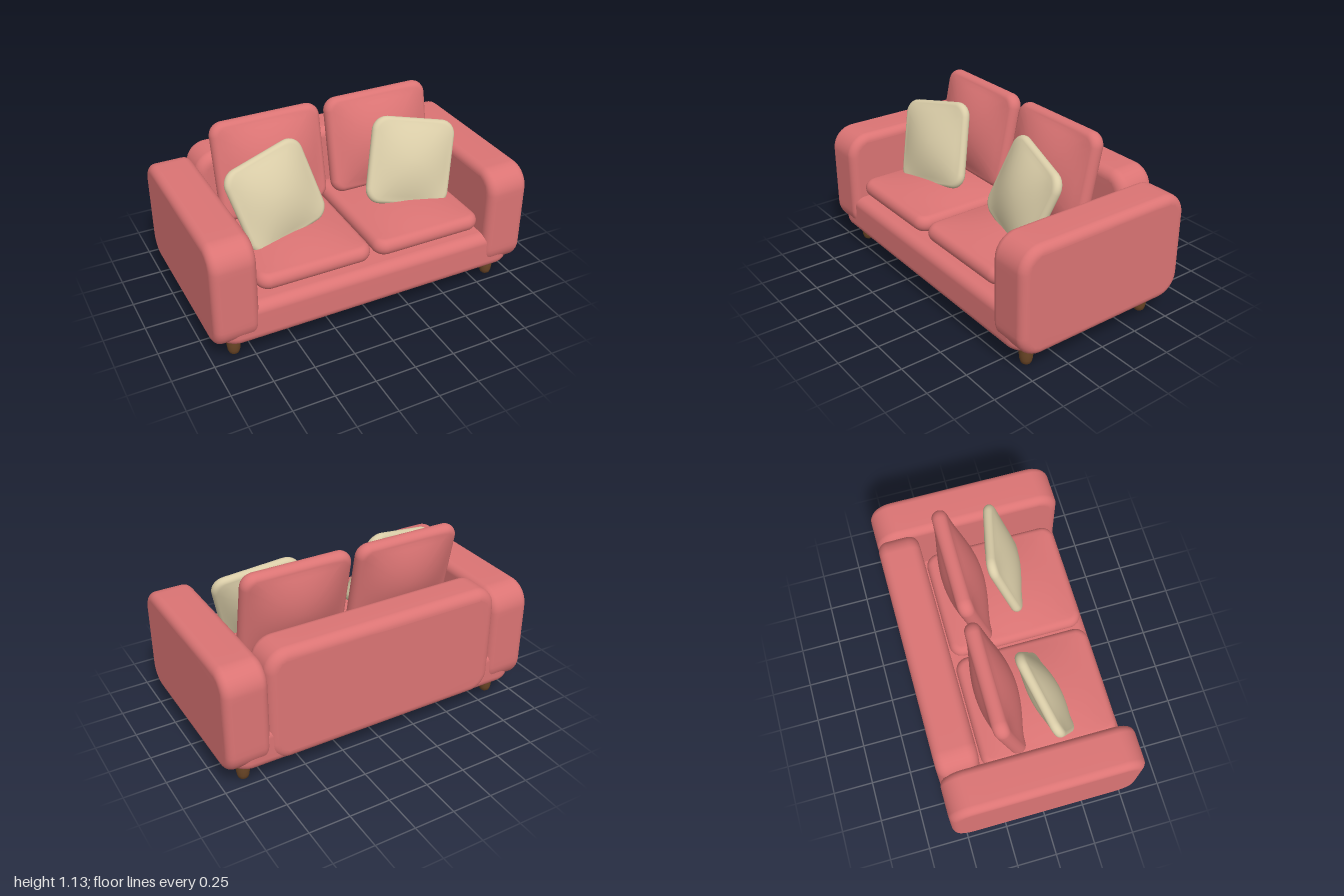
import * as THREE from 'three';
import { mergeVertices } from 'three/addons/utils/BufferGeometryUtils.js';

const material = (name, color) => {
  const m = new THREE.MeshStandardMaterial({ color });
  m.name = name;
  return m;
};

// Rounded-rectangle loop, counter-clockwise, pulled inwards by inset
function outline(w, h, R, inset) {
  const hw = w / 2 - inset, hh = h / 2 - inset, r = Math.max(R - inset, 0.005);
  const corners = [[1, 1], [-1, 1], [-1, -1], [1, -1]];
  const arcs = corners.map(([sx, sy], q) => {
    const arc = [];
    for (let j = 0; j <= 8; j++) {
      const a = (q + j / 8) * Math.PI / 2;
      arc.push(new THREE.Vector2(sx * (hw - r) + r * Math.cos(a), sy * (hh - r) + r * Math.sin(a)));
    }
    return arc;
  });
  const pts = [];
  arcs.forEach((arc, q) => {
    pts.push(...arc);
    const next = arcs[(q + 1) % 4][0];
    for (let i = 1; i < 10; i++) pts.push(arc[8].clone().lerp(next, i / 10));
  });
  return pts;
}

// Upholstered block in the xy plane: corner radius R, soft rim (inset x edge
// half-thickness) and domed faces reaching the full depth d in the middle
function cushion(w, h, d, R, inset, edge) {
  const rings = [];
  const cap = outline(w, h, R, inset);
  const face = (k, side) => cap.map((p) => {
    const x = p.x * k, y = p.y * k;
    const u = x / (w / 2 - inset), v = y / (h / 2 - inset);
    const dome = (1 - u * u) * (1 - v * v);
    return [x, y, side * (edge + (d / 2 - edge) * dome)];
  });
  for (let k = 0; k <= 10; k++) rings.push(face(k / 10, 1));
  for (let j = 1; j < 12; j++) {
    const a = Math.PI / 2 - (j / 12) * Math.PI;
    const z = edge * Math.sin(a);
    rings.push(outline(w, h, R, inset * (1 - Math.cos(a))).map((p) => [p.x, p.y, z]));
  }
  for (let k = 10; k >= 0; k--) rings.push(face(k / 10, -1));

  const n = cap.length, index = [];
  for (let r = 0; r < rings.length - 1; r++) {
    for (let i = 0; i < n; i++) {
      const j = (i + 1) % n, a = r * n, b = a + n;
      if (r < rings.length - 2) index.push(a + i, b + i, b + j);
      if (r > 0) index.push(a + i, b + j, a + j);
    }
  }
  const raw = new THREE.BufferGeometry();
  raw.setAttribute('position', new THREE.Float32BufferAttribute(rings.flat(2), 3));
  raw.setIndex(index);
  const geo = mergeVertices(raw, 1e-5);
  geo.computeVertexNormals();
  return geo;
}

// Block with straight sides and evenly rounded rim, built from front, rim, back
function block(w, h, d, R, bevel) {
  const shape = new THREE.Shape(outline(w, h, R, bevel));
  const geo = new THREE.ExtrudeGeometry(shape, {
    depth: d - 2 * bevel, bevelEnabled: true, bevelSize: bevel, bevelThickness: bevel,
    bevelSegments: 8, steps: 1,
  });
  geo.translate(0, 0, -(d / 2 - bevel));
  geo.deleteAttribute('uv');
  geo.deleteAttribute('normal');
  const smooth = mergeVertices(geo, 1e-4);
  smooth.computeVertexNormals();
  return smooth;
}

export function createModel() {
  const model = new THREE.Group();
  model.name = 'sofa';
  const coral = material('coral fabric', 0xdb7474);
  const cream = material('cream fabric', 0xdacda8);
  const wood = material('brown wood', 0x6b4626);

  const add = (name, geo, mat, x, y, z) => {
    const mesh = new THREE.Mesh(geo, mat);
    mesh.name = name;
    mesh.position.set(x, y, z);
    model.add(mesh);
    return mesh;
  };

  // Frame
  const base = add('base', block(1.92, 1.13, 0.25, 0.12, 0.06), coral, 0, 0.26, -0.003);
  base.rotation.x = -Math.PI / 2;
  add('backrest', block(1.5, 0.71, 0.25, 0.13, 0.06), coral, 0, 0.497, -0.455);

  const armGeo = block(1.155, 0.66, 0.265, 0.14, 0.05);
  const seatGeo = cushion(0.705, 0.84, 0.18, 0.08, 0.045, 0.05);
  const backGeo = cushion(0.685, 0.6, 0.24, 0.08, 0.04, 0.045);
  const pillowGeo = cushion(0.53, 0.53, 0.17, 0.09, 0.03, 0.03);
  const legProfile = [[0, 0], [0.018, 0.002], [0.03, 0.012], [0.037, 0.035], [0.041, 0.07],
    [0.041, 0.12], [0.038, 0.17], [0, 0.17]].map(([x, y]) => new THREE.Vector2(x, y));
  const legGeo = new THREE.LatheGeometry(legProfile, 20);

  for (const s of [1, -1]) {
    const side = s > 0 ? 'left' : 'right';
    add(side + 'Arm', armGeo, coral, s * 0.8675, 0.47, -0.002).rotation.y = Math.PI / 2;

    // Seat and back cushions
    add(side + 'SeatCushion', seatGeo, coral, s * 0.363, 0.475, 0.11).rotation.x = -Math.PI / 2;
    add(side + 'BackCushion', backGeo, coral, s * 0.362, 0.835, -0.137).rotation.x = -0.21;

    // Leaning throw pillow, mirrored per side
    const u = new THREE.Vector3(0.45, -0.09 * s, 0.1 * s).normalize();
    const v = new THREE.Vector3(0.13 * s, 0.46, -0.14);
    const n = u.clone().cross(v).normalize();
    v.crossVectors(n, u);
    add(side + 'ThrowPillow', pillowGeo, cream, s * 0.442, 0.768, 0.135)
      .quaternion.setFromRotationMatrix(new THREE.Matrix4().makeBasis(u, v, n));

    // Legs
    add(side + 'FrontLeg', legGeo, wood, s * 0.857, 0, 0.43);
    add(side + 'BackLeg', legGeo, wood, s * 0.857, 0, -0.425);
  }
  return model;
}
